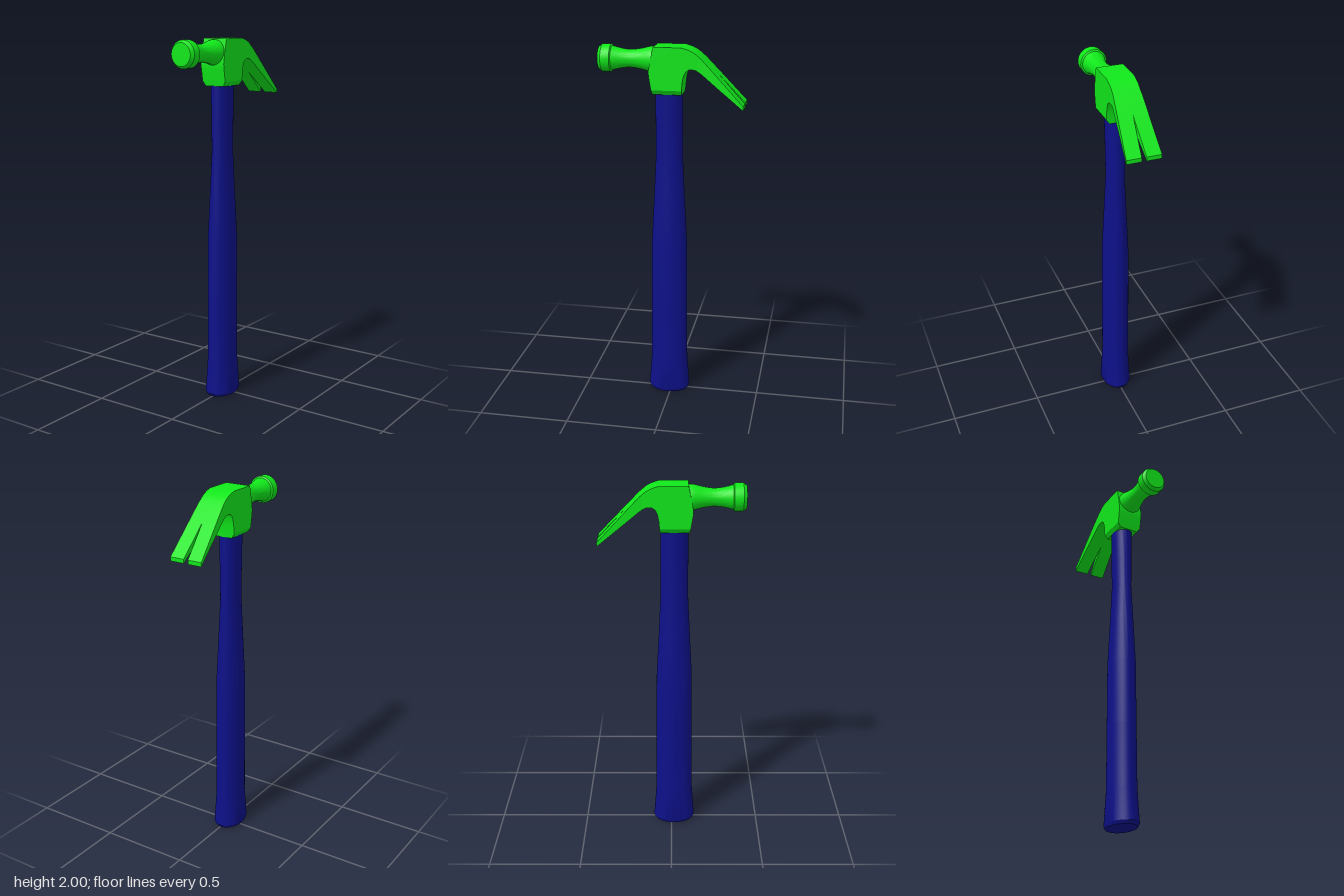
import * as THREE from 'three';
import { toCreasedNormals } from 'three/addons/utils/BufferGeometryUtils.js';

const green = new THREE.MeshStandardMaterial({ color: 0x10e61a });
const navy = new THREE.MeshStandardMaterial({ color: 0x0d1088 });

function makeMesh(name, geometry, material, crease) {
  const mesh = new THREE.Mesh(toCreasedNormals(geometry, crease), material);
  mesh.name = name;
  return mesh;
}

// Extrudes a side profile of [z, y] points across x; lo and hi give the x limits at (z, y).
function slab(name, profile, lo, hi) {
  const shape = new THREE.Shape(profile.map(([z, y]) => new THREE.Vector2(-z, y)));
  const geometry = new THREE.ExtrudeGeometry(shape, { depth: 1, bevelEnabled: false });
  geometry.rotateY(Math.PI / 2);
  const p = geometry.attributes.position;
  for (let i = 0; i < p.count; i++) {
    const y = p.getY(i), z = p.getZ(i);
    p.setX(i, THREE.MathUtils.lerp(lo(z, y), hi(z, y), p.getX(i)));
  }
  return makeMesh(name, geometry, green, 0.45);
}

// Oval handle: a lathe whose depth is stretched row by row
function makeHandle() {
  const rows = [ // y, half width, half depth
    [0, 0.001, 0.001], [0, 0.076, 0.106], [0.018, 0.084, 0.117], [0.2, 0.073, 0.104],
    [0.55, 0.072, 0.101], [0.92, 0.071, 0.098], [1.17, 0.059, 0.085], [1.4, 0.048, 0.074],
    [1.58, 0.051, 0.074], [1.8, 0.056, 0.074],
  ];
  const geometry = new THREE.LatheGeometry(rows.map(([y, w]) => new THREE.Vector2(w, y)), 40);
  const p = geometry.attributes.position;
  for (let i = 0; i < p.count; i++) {
    const [, w, d] = rows[i % rows.length];
    p.setZ(i, p.getZ(i) * d / w);
  }
  geometry.translate(-0.003, 0, 0.015);
  return makeMesh('handle', geometry, navy, 0.5);
}

// Round striking end: waisted neck, stepped and chamfered face
function makePoll() {
  const neck = new THREE.SplineCurve([
    [0.066, 0.08], [0.067, 0.11], [0.054, 0.165], [0.047, 0.22], [0.052, 0.27], [0.064, 0.32],
  ].map(([r, z]) => new THREE.Vector2(r, z))).getPoints(16);
  const face = [[0.073, 0.325], [0.073, 0.372], [0.06, 0.39], [0, 0.39]]
    .map(([r, z]) => new THREE.Vector2(r, z));
  const geometry = new THREE.LatheGeometry([...neck, ...face], 40);
  geometry.rotateX(Math.PI / 2);
  geometry.translate(0, 1.927, 0);
  return makeMesh('strikingFace', geometry, green, 0.5);
}

function makeHead() {
  const head = new THREE.Group();
  head.name = 'head';

  // Half widths of the head and of the slot between the prongs
  const outer = (z) => 0.073 + Math.max(0, -z - 0.15) * 0.0875;
  const slot = (z) => Math.max(0, -z - 0.24) * 0.0867;
  const collarWidth = (z, y) => (y < 1.76 ? 0.056 : 0.073);

  // Block around the handle, curving back into the claw
  head.add(slab('eyeBlock', [
    [0.1, 1.775], [-0.062, 1.775], [-0.066, 1.82], [-0.073, 1.853], [-0.084, 1.876],
    [-0.1, 1.887], [-0.12, 1.888], [-0.135, 1.886], [-0.15, 1.878],
    [-0.15, 1.957], [-0.132, 1.972], [-0.112, 1.983], [-0.09, 1.992], [-0.062, 2],
    [0.088, 2], [0.104, 1.93], [0.114, 1.87], [0.112, 1.845],
  ], (z) => -outer(z), outer));

  // Chamfered collar under the block
  head.add(slab('collar', [[0.095, 1.75], [-0.06, 1.75], [-0.062, 1.775], [0.1, 1.775]],
    (z, y) => -collarWidth(z, y), collarWidth));

  // Claw: solid root, then two flaring prongs
  head.add(slab('clawRoot', [
    [-0.15, 1.878], [-0.17, 1.864], [-0.24, 1.807], [-0.24, 1.867], [-0.17, 1.94], [-0.15, 1.957],
  ], (z) => -outer(z), outer));
  const prong = [[-0.24, 1.807], [-0.39, 1.687], [-0.39, 1.709], [-0.24, 1.867]];
  head.add(slab('leftProng', prong, slot, outer));
  head.add(slab('rightProng', prong, (z) => -outer(z), (z) => -slot(z)));

  head.add(makePoll());
  return head;
}

export function createModel() {
  const model = new THREE.Group();
  model.name = 'clawHammer';
  model.add(makeHandle(), makeHead());
  return model;
}
